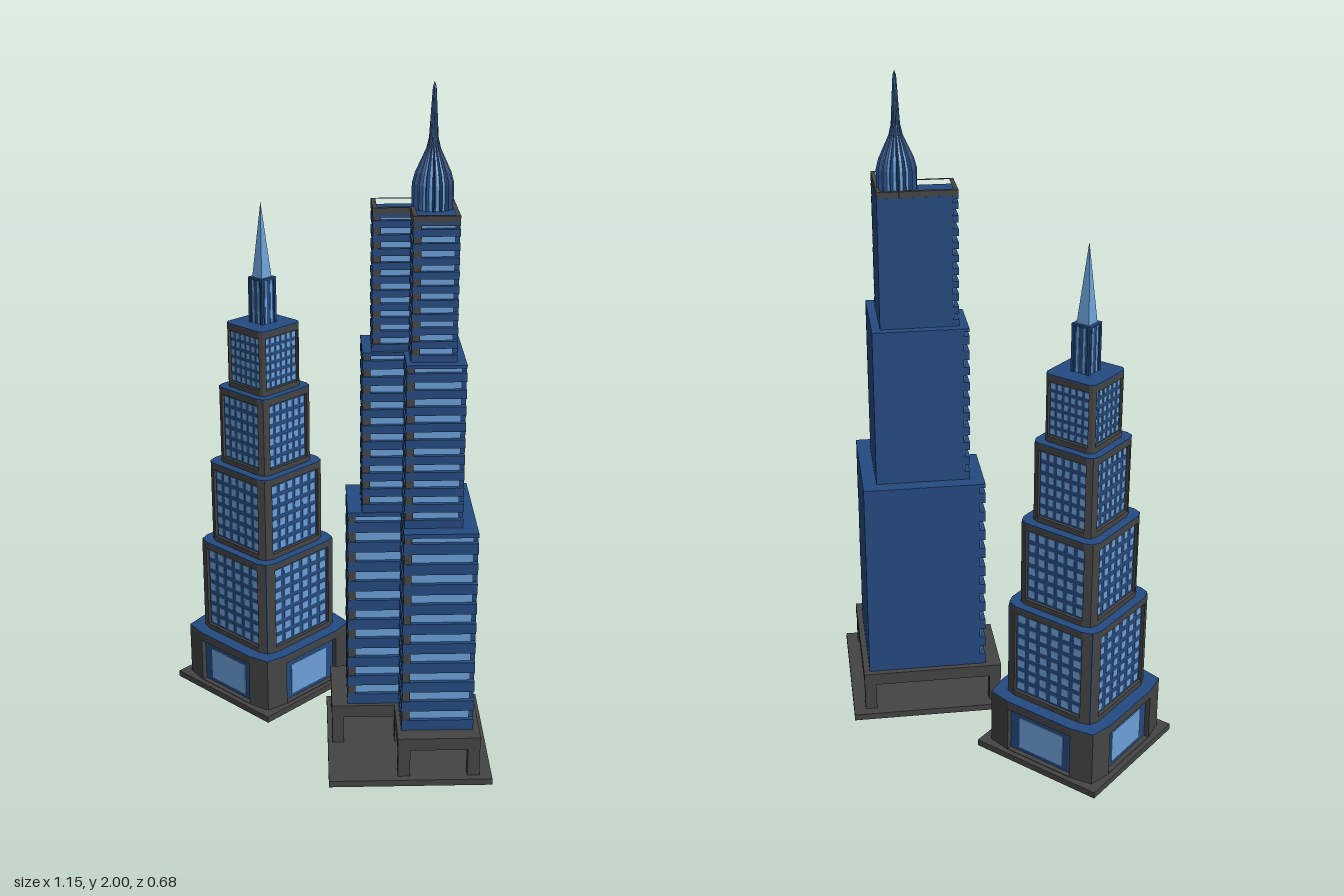
import * as THREE from 'three';
import { mergeGeometries } from 'three/addons/utils/BufferGeometryUtils.js';

const paint = (name, color) => {
  const m = new THREE.MeshStandardMaterial({ color, flatShading: true });
  m.name = name;
  return m;
};

export function createModel() {
  const grey = paint('dark stone', 0x444444);
  const navy = paint('navy cladding', 0x254a80);
  const glass = paint('light blue glass', 0x6ba0d8);

  const add = (parent, name, geometry, material) => {
    const mesh = new THREE.Mesh(geometry, material);
    mesh.name = name;
    parent.add(mesh);
    return mesh;
  };
  const group = (parent, name, x, z) => {
    const g = new THREE.Group();
    g.name = name;
    g.position.set(x, 0, z);
    parent.add(g);
    return g;
  };
  // Upright prism over a plan outline of [x, z] points
  const prism = (points, y0, y1, hole) => {
    const flat = (list) => list.map(([x, z]) => new THREE.Vector2(x, -z));
    const shape = new THREE.Shape(flat(points));
    if (hole) shape.holes.push(new THREE.Path(flat(hole)));
    return new THREE.ExtrudeGeometry(shape, { depth: y1 - y0, bevelEnabled: false })
      .rotateX(-Math.PI / 2).translate(0, y0, 0);
  };
  const box = (w, h, d, x, y, z) => new THREE.BoxGeometry(w, h, d).translate(x, y, z);
  // Copies geometries to all four sides
  const fourSides = (list) => mergeGeometries([0, 1, 2, 3].flatMap((i) =>
    list.map((g) => g.clone().rotateY(i * Math.PI / 2))));

  const model = new THREE.Group();
  model.name = 'twoTowers';

  // ---------- Stepped square tower ----------
  const square = group(model, 'steppedTower', -0.363, 0.005);
  add(square, 'steppedTowerPlinth', box(0.426, 0.02, 0.426, 0, 0.01, 0), grey);

  // One storey block: stone corners and bands around a recessed panel
  const block = (name, y0, y1, h, p, low, high, recess) => {
    const g = group(square, name, 0, 0);
    const c = h * 0.93, d = h - recess;
    const quarter = [[p, h], [c, c], [h, p]];
    const outline = [0, 1, 2, 3].flatMap((i) => quarter.map(([x, z]) =>
      [[x, z], [z, -x], [-x, -z], [-z, x]][i]));
    const post = prism([[p, d - 0.01], [p, h], [c, c], [h, p], [d - 0.01, p]], y0, y1);
    add(g, 'cornerPosts', fourSides([post]), grey);
    add(g, 'lowerBand', prism(outline, y0, low), grey);
    add(g, 'upperBand', prism(outline, high, y1 - 0.001), grey);
    add(g, 'recessedPanel', box(2 * d, y1 - y0 - 0.004, 2 * d, 0, (y0 + y1) / 2, 0), navy);
    add(g, 'roof', prism(outline, y1 - 0.001, y1 + 0.003), navy);
    return { g, d };
  };

  const lobby = block('lobby', 0.02, 0.19, 0.197, 0.112, 0.022, 0.165, 0.016);
  add(lobby.g, 'lobbyWindows', fourSides([box(0.156, 0.105, 0.006, 0, 0.088, lobby.d)]), glass);

  // bottom, top, half width, half panel width, window rows
  const tiers = [
    [0.19, 0.5, 0.158, 0.118, 7],
    [0.5, 0.77, 0.132, 0.1, 6],
    [0.77, 1.02, 0.106, 0.08, 6],
    [1.02, 1.225, 0.083, 0.067, 6],
  ];
  tiers.forEach(([y0, y1, h, p, rows], i) => {
    const low = y0 + 0.02, high = y1 - 0.02;
    const { g, d } = block('tier' + (i + 1), y0, y1, h, p, low, high, 0.01);
    const dx = 2 * p / 6, dy = (high - low) / rows;
    const panes = [];
    for (let r = 0; r < rows; r++) for (let k = 0; k < 6; k++) {
      panes.push(box(dx * 0.62, dy * 0.62, 0.004, (k - 2.5) * dx, low + (r + 0.5) * dy, d));
    }
    add(g, 'windows', fourSides(panes), glass);
  });

  // Ribbed shaft and pointed spire
  add(square, 'shaft', box(0.052, 0.145, 0.052, 0, 1.2975, 0), navy);
  add(square, 'shaftCap', box(0.06, 0.006, 0.06, 0, 1.367, 0), navy);
  add(square, 'shaftRibs', fourSides([-0.026, 0.026].map((x) =>
    box(0.008, 0.14, 0.008, x, 1.295, 0.026))), navy);
  add(square, 'shaftStripes', fourSides([-0.011, 0.011].map((x) =>
    box(0.007, 0.135, 0.003, x, 1.295, 0.026))), glass);
  add(square, 'spire', new THREE.ConeGeometry(0.029, 0.23, 4).rotateY(Math.PI / 4)
    .translate(0, 1.485, 0), glass);

  // ---------- Corner tower with two wings ----------
  const corner = group(model, 'cornerTower', 0.23, 0);
  // L-shaped plan turned 45 degrees, with its outer corner at the back
  const wings = (zb, a, w) => [[0, zb], [a, zb + a], [a - w, zb + a + w], [0, zb + 2 * w],
    [w - a, zb + a + w], [-a, zb + a]];
  const inset = ([zb, a, w], s) => [zb + s, a - s, w - s];
  const diamondPosts = (points, size, y0, y1) => mergeGeometries(points.map(([x, z]) =>
    new THREE.BoxGeometry(size, y1 - y0, size).rotateY(Math.PI / 4).translate(x, (y0 + y1) / 2, z)));

  const r = 0.34;
  add(corner, 'cornerTowerPlinth',
    prism([[r, 0], [0, r], [-r, 0], [0, -r]], 0, 0.02).translate(0.005, 0, 0), grey);

  // Open ground floor on columns
  const ground = [-0.295, 0.306, 0.172];
  add(corner, 'groundFloorSlab', prism(wings(...ground), 0.108, 0.147), grey);
  add(corner, 'groundFloorColumns',
    diamondPosts(wings(...inset(ground, 0.027)), 0.036, 0.02, 0.11), grey);

  // bottom, top, plan
  const stacks = [
    [0.147, 0.78, [-0.269, 0.259, 0.15]],
    [0.78, 1.265, [-0.21, 0.2, 0.118]],
    [1.265, 1.655, [-0.174, 0.163, 0.09]],
  ];
  stacks.forEach(([y0, y1, plan], i) => {
    const g = group(corner, 'wingStack' + (i + 1), 0, 0);
    const pitch = (y1 - y0) / 10;
    const core = inset(plan, 0.018);
    add(g, 'glazing', prism(wings(...core), y0, y1 - 0.004), glass);
    const slabs = [prism(wings(...plan), y1 - pitch * 0.2, y1)];
    for (let k = 0; k < 10; k++) {
      slabs.push(prism(wings(...plan), y0 + k * pitch, y0 + (k + 0.52) * pitch));
    }
    add(g, 'floorBands', mergeGeometries(slabs), navy);
    // Plain walls on the two back sides
    add(g, 'backWalls', prism(wings(plan[0] - 0.0005, plan[1] - 0.012, 0.025), y0, y1 - 0.001), navy);
    // Stone piers at the front corners and in the notch
    const c = wings(...core);
    add(g, 'piers', diamondPosts([c[2], c[3], c[4]], 0.022, y0, y1 - 0.005), grey);
  });

  // Roof parapet
  const top = stacks[2][2];
  add(corner, 'parapet', prism(wings(...top), 1.645, 1.672, wings(...inset(top, 0.018))), grey);

  // Fluted crown rising to a needle
  const crown = group(corner, 'crown', -0.004, -0.09);
  const profile = [[0.058, 1.655], [0.058, 1.725], [0.05, 1.755], [0.034, 1.79], [0.02, 1.82],
    [0.013, 1.85], [0.009, 1.92], [0.005, 1.985], [0, 2]];
  const lathe = (scale, n) => new THREE.LatheGeometry(
    profile.map(([x, y]) => new THREE.Vector2(x * scale, y)), n);
  const ribs = lathe(1, 32);
  const pos = ribs.attributes.position;
  for (let i = 0; i < pos.count; i++) {
    if (Math.floor(i / profile.length) % 2) {
      pos.setX(i, pos.getX(i) * 0.72);
      pos.setZ(i, pos.getZ(i) * 0.72);
    }
  }
  ribs.computeVertexNormals();
  add(crown, 'crownRibs', ribs, navy);
  add(crown, 'crownGlass', lathe(0.83, 32), glass);
  return model;
}
